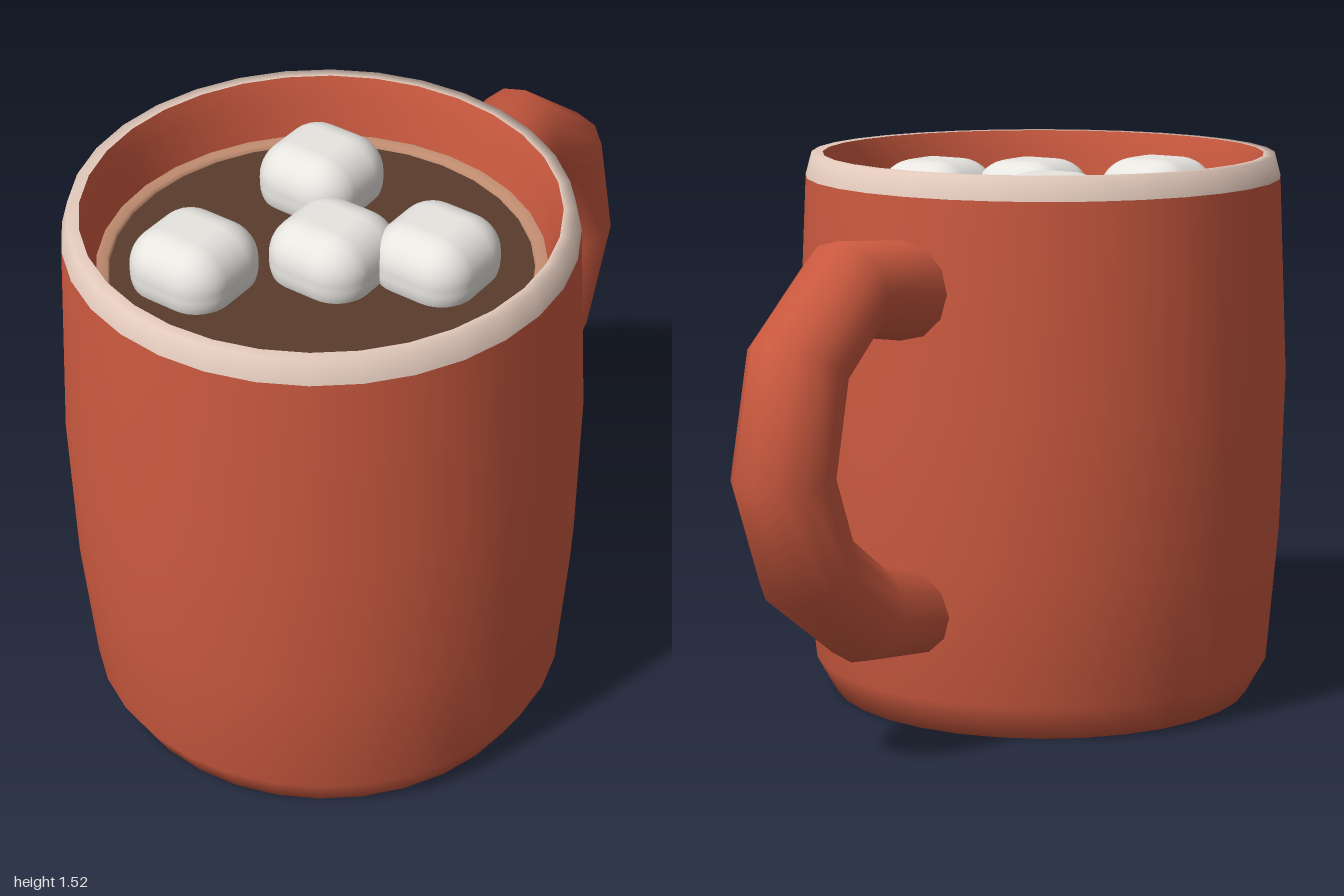
import * as THREE from 'three';
import { RoundedBoxGeometry } from 'three/addons/geometries/RoundedBoxGeometry.js';

const mat = (name, color, side = THREE.FrontSide) =>
  Object.assign(new THREE.MeshStandardMaterial({ color, side }), { name });

// Handle: 12-sided rings spanning matching outer and inner points of the loop
function handleGeometry(outer, inner, depth, sides = 12) {
  const pos = [], idx = [];
  outer.forEach(([ox, oy], i) => {
    const [ix, iy] = inner[i];
    for (let j = 0; j < sides; j++) {
      const a = (j / sides) * Math.PI * 2, c = Math.cos(a) / 2;
      pos.push((ox + ix) / 2 + (ox - ix) * c, (oy + iy) / 2 + (oy - iy) * c, depth * Math.sin(a));
    }
  });
  for (let i = 0; i < outer.length - 1; i++) {
    for (let j = 0; j < sides; j++) {
      const k = (j + 1) % sides;
      const a = i * sides + j, b = i * sides + k, c = a + sides, d = b + sides;
      idx.push(a, b, c, b, d, c);
    }
  }
  const g = new THREE.BufferGeometry();
  g.setAttribute('position', new THREE.Float32BufferAttribute(pos, 3));
  g.setIndex(idx);
  g.computeVertexNormals();
  return g;
}

export function createModel() {
  const clay = mat('terracotta glaze', 0xcc5a40);
  const clayOpen = mat('terracotta handle', 0xcc5a40, THREE.DoubleSide);
  const cream = mat('cream clay', 0xe4cbbd);
  const cocoa = mat('cocoa', 0x5a3c2d);
  const foam = mat('cocoa foam', 0xc08c70);
  const white = mat('marshmallow white', 0xe9e7e2);

  const group = new THREE.Group();
  const mug = new THREE.Group();
  mug.name = 'mug';
  mug.position.x = -0.315;
  group.add(mug);

  const add = (name, geometry, material, parent = mug) => {
    const m = new THREE.Mesh(geometry, material);
    m.name = name;
    parent.add(m);
    return m;
  };
  const lathe = (pts) => new THREE.LatheGeometry(pts.map(([r, y]) => new THREE.Vector2(r, y)), 32);

  // Outer wall with its rounded foot
  add('body', lathe([[0.33, 0], [0.59, 0], [0.645, 0.1], [0.675, 0.47], [0.685, 0.9], [0.66, 1.455]]), clay);
  // Unglazed disc under the foot
  add('baseDisc', new THREE.CircleGeometry(0.33, 32).rotateX(Math.PI / 2), cream);
  // Pale lip and glazed inner wall
  add('rim', lathe([[0.66, 1.455], [0.643, 1.518], [0.612, 1.518]]), cream);
  add('innerWall', lathe([[0.612, 1.518], [0.595, 1.46], [0.575, 1.33]]), clay);

  // Drink with a pale ring around its edge
  add('drink', new THREE.CircleGeometry(0.578, 32).rotateX(-Math.PI / 2), cocoa).position.y = 1.34;
  add('foamRing', lathe([[0.58, 1.352], [0.55, 1.352], [0.545, 1.34]]), foam);

  // Four floating marshmallows
  const puff = new RoundedBoxGeometry(0.29, 0.22, 0.29, 5, 0.1);
  [[-0.555, -0.225], [-0.05, -0.195], [-0.315, 0.035], [-0.175, 0.26]].forEach(([x, z], i) => {
    add('marshmallow' + (i + 1), puff, white, group).position.set(x, 1.385, z);
  });

  // Handle, set into the wall at both ends
  const outer = [[0.29, 1.335], [0.63, 1.37], [0.915, 1.145], [1, 0.785], [0.875, 0.46], [0.59, 0.255], [0.29, 0.215]];
  const inner = [[0.29, 1.065], [0.57, 1.115], [0.69, 1.01], [0.735, 0.8], [0.665, 0.625], [0.49, 0.495], [0.29, 0.455]];
  add('handle', handleGeometry(outer, inner, 0.135), clayOpen, group);

  return group;
}
